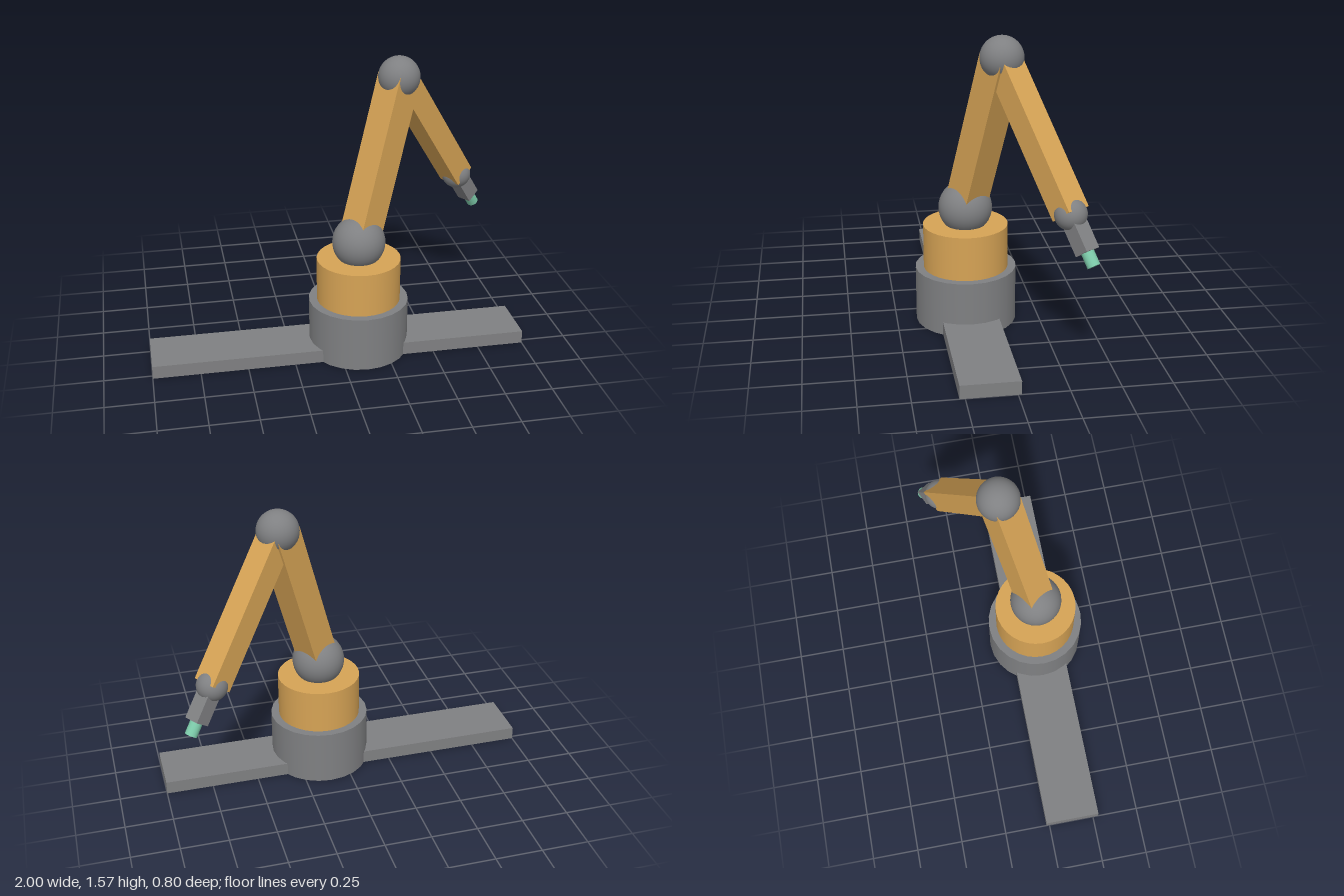
import * as THREE from 'three';

export function createModel() {
  const model = new THREE.Group();
  model.name = 'robotArm';

  const makeMaterial = (name, color) => {
    const m = new THREE.MeshStandardMaterial({ color });
    m.name = name;
    return m;
  };
  const grey = makeMaterial('machineGrey', 0x7f8082);
  const amber = makeMaterial('amberPaint', 0xd6a355);
  const green = makeMaterial('mintGreen', 0x7ccaa9);

  const add = (name, geometry, material, position, parent = model) => {
    const mesh = new THREE.Mesh(geometry, material);
    mesh.name = name;
    mesh.position.copy(position);
    parent.add(mesh);
    return mesh;
  };
  const V = (x, y, z) => new THREE.Vector3(x, y, z);

  // Joint centres; the whole arm lies in one vertical plane
  const shoulder = V(0.115, 0.62, 0.13);
  const elbow = V(0.35, 1.46, -0.022);
  const wrist = V(0.757, 0.795, -0.285);
  const side = V(0.543, 0, 0.84);

  // Base: stabiliser feet, fixed drum and turntable
  for (const s of [-1, 1]) {
    const inner = 0.115 + s * 0.15;
    const length = Math.abs(s - inner);
    add(s < 0 ? 'rightFoot' : 'leftFoot', new THREE.BoxGeometry(length, 0.07, 0.295),
      grey, V((s + inner) / 2, 0.035, 0.13));
  }
  add('baseDrum', new THREE.CylinderGeometry(0.265, 0.265, 0.295, 24), grey, V(0.115, 0.1475, 0.13));
  add('turntable', new THREE.CylinderGeometry(0.222, 0.222, 0.235, 32), amber, V(0.115, 0.4125, 0.13));

  // Ball joints
  const ball = (name, centre, r) => add(name, new THREE.SphereGeometry(r, 32, 20), grey, centre);
  ball('shoulderJoint', shoulder, 0.14);
  ball('elbowJoint', elbow, 0.109);
  ball('wristJoint', wrist, 0.08);

  // Places a part with its y axis running from a to b, square to the arm plane
  const link = (name, a, b, makeGeometry, material) => {
    const up = b.clone().sub(a);
    const mesh = add(name, makeGeometry(up.length()), material, a.clone().add(b).multiplyScalar(0.5));
    up.normalize();
    const x = up.clone().cross(side).normalize();
    const z = x.clone().cross(up);
    mesh.quaternion.setFromRotationMatrix(new THREE.Matrix4().makeBasis(x, up, z));
  };
  const bar = (w) => (length) => new THREE.BoxGeometry(w, length, w);

  // Arm segments
  link('upperArm', shoulder, elbow, bar(0.156), amber);
  link('forearm', elbow, wrist, bar(0.13), amber);

  // Tool continues along the forearm
  const along = wrist.clone().sub(elbow).normalize();
  const at = (d) => wrist.clone().addScaledVector(along, d);
  link('toolHolder', wrist, at(0.195), bar(0.084), grey);
  link('toolTip', at(0.15), at(0.268), (h) => new THREE.CylinderGeometry(0.032, 0.032, h, 16), green);

  return model;
}
